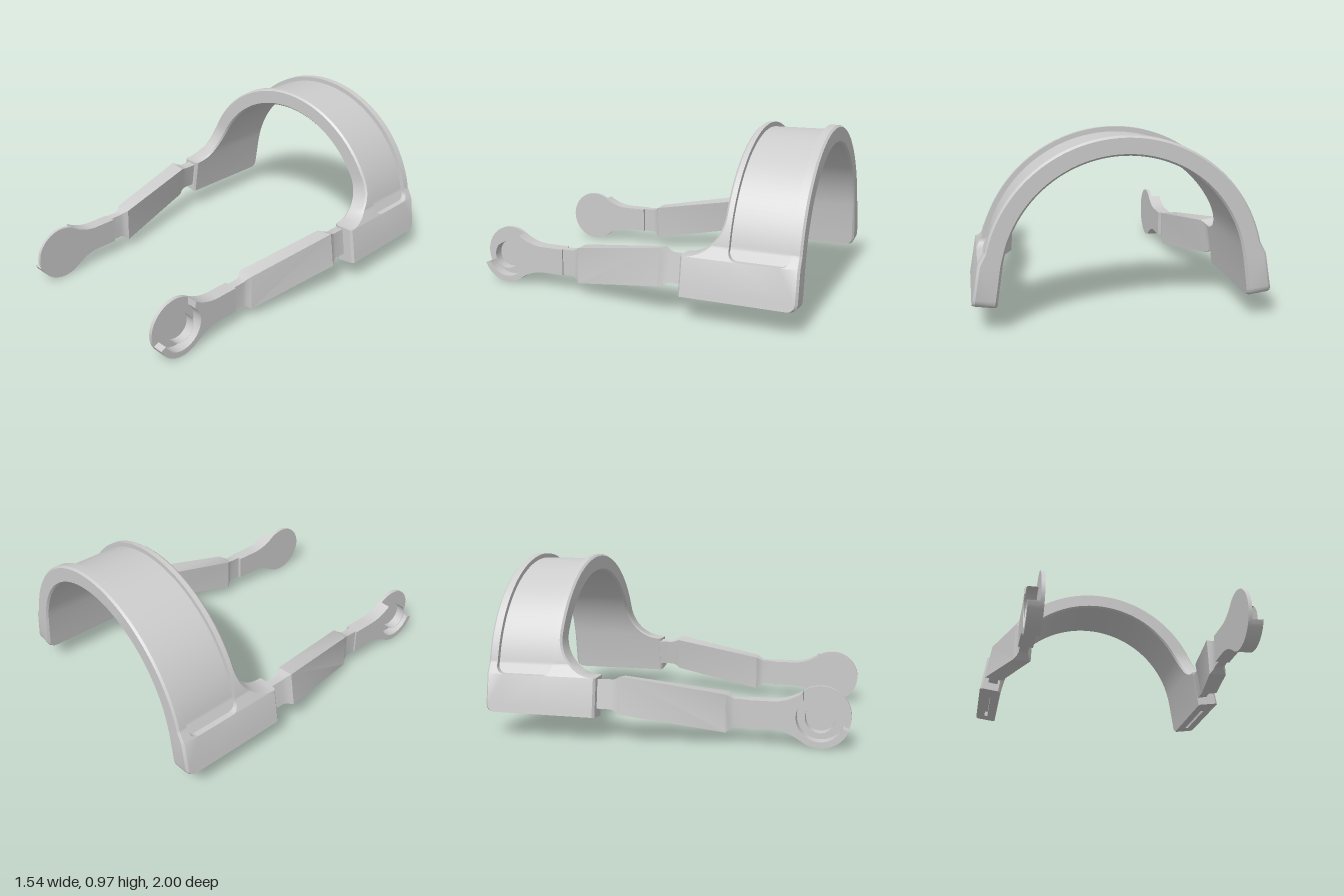
import * as THREE from 'three';
import { mergeGeometries, toCreasedNormals } from 'three/addons/utils/BufferGeometryUtils.js';

const mat = new THREE.MeshStandardMaterial({ color: 0xcccccc });
const lerp = THREE.MathUtils.lerp;
const rad = THREE.MathUtils.degToRad;

function fromTriangles(pos) {
  const g = new THREE.BufferGeometry();
  g.setAttribute('position', new THREE.Float32BufferAttribute(pos, 3));
  return g;
}

// Skin a list of closed rings of [x, y, z] points
function loft(rings, pos = []) {
  const n = rings[0].length;
  for (let i = 0; i < rings.length - 1; i++) {
    for (let j = 0; j < n; j++) {
      const k = (j + 1) % n;
      const a = rings[i][j], b = rings[i + 1][j], c = rings[i + 1][k], d = rings[i][k];
      pos.push(...a, ...b, ...c, ...a, ...c, ...d);
    }
  }
  return pos;
}

// Mirror across x and keep faces pointing outward
function mirrorX(geo) {
  const g = fromTriangles([...geo.attributes.position.array]);
  const p = g.attributes.position;
  for (let i = 0; i < p.count; i += 3) {
    const t = [0, 2, 1].map((k) => [-p.getX(i + k), p.getY(i + k), p.getZ(i + k)]);
    t.forEach((v, k) => p.setXYZ(i + k, ...v));
  }
  return g;
}

function mesh(geo, name, crease = 0.5) {
  const m = new THREE.Mesh(toCreasedNormals(geo, crease), mat);
  m.name = name;
  return m;
}

// ---- Head band ----
const CY = 0.262, R_IN = 0.618, R_OUT = 0.718;

// Inner and outer [x, y] points of the band at a given outer height
function bandPair(y) {
  if (y >= 0.42) {
    const a = Math.asin(Math.min(1, (y - CY) / R_OUT));
    return [R_IN, R_OUT].map((r) => [r * Math.cos(a), CY + r * Math.sin(a)]);
  }
  const mix = (p, q, t) => [lerp(p[0], q[0], t), lerp(p[1], q[1], t)];
  if (y >= 0.355) {
    const t = (0.42 - y) / 0.065;
    return [mix([0.603, 0.398], [0.612, 0.355], t), mix([0.70, 0.42], [0.735, 0.355], t)];
  }
  const t = (0.355 - y) / 0.21;
  return [mix([0.612, 0.355], [0.645, 0.128], t), mix([0.735, 0.355], [0.77, 0.145], t)];
}

// Front edge sweeps forward into the leg; back edge rounds off at the bottom
function frontZ(y) {
  const s = THREE.MathUtils.clamp((0.58 - y) / 0.225, 0, 1);
  return -0.36 - 0.22 * Math.sqrt(1 - s * s);
}
const backZ = (y) => (y < 0.185 ? -0.96 - Math.sqrt(Math.max(0, 0.0016 - (0.185 - y) ** 2)) : -1);

// Cross-section as [t, z], t running from the inner to the outer surface
function bandSection(y, channel) {
  const [inner, outer] = bandPair(y);
  const zb = backZ(y), fi = frontZ(inner[1]), fo = frontZ(outer[1]);
  const d = Math.max(0, 0.405 - y);
  const w = 0.113 + Math.sqrt(Math.max(0, 0.0025 - d * d));
  const f = channel ? 0.74 : 1, zc = -0.783, b = 0.012, e = 0.1;
  return [[0, zb + b], [e, zb], [1 - e, zb], [1, zb + b], [1, zc - w], [f, zc - w],
    [f, zc + w], [1, zc + w], [1, fo - b], [1 - e, fo], [e, fi], [0, fi - b]];
}
function place(y, [t, z], lift = 0) {
  const [i, o] = bandPair(y);
  return [lerp(i[0], o[0], t), lerp(i[1], o[1], t) + lift, z];
}

function bandGeometry() {
  const bottom = 0.145;
  const stations = [bottom, 0.148, 0.155, 0.167, 0.185, 0.355].map((y) => [y, false]);
  // Recess end, with rounded corners, then the fillet up to the arch
  for (let i = 0; i <= 20; i++) stations.push([0.58 - 0.225 * Math.sin((1 - i / 20) * Math.PI / 2), true]);
  for (const y of [0.362, 0.375, 0.39, 0.405, 0.42]) stations.push([y, true]);
  const a0 = Math.asin((0.58 - CY) / R_OUT);
  for (let i = 1; i <= 28; i++) stations.push([CY + R_OUT * Math.sin(lerp(a0, Math.PI / 2, i / 28)), true]);
  stations.sort((p, q) => p[0] - q[0] || p[1] - q[1]);
  const pos = loft(stations.map(([y, ch]) => bandSection(y, ch).map((p) => place(y, p))));

  // Leg underside with its long slot
  const rim = bandSection(bottom, false).filter((p, i) => i < 4 || i > 7);
  const slot = [[0.42, -0.88], [0.42, -0.5], [0.58, -0.5], [0.58, -0.88]];
  const v2 = (list) => list.map((p) => new THREE.Vector2(...p));
  const all = [...rim, ...slot];
  for (const tri of THREE.ShapeUtils.triangulateShape(v2(rim), [v2(slot)])) {
    for (const k of tri) pos.push(...place(bottom, all[k]));
  }
  loft([0, 0.03].map((h) => slot.map((p) => place(bottom, p, h))), pos);
  const roof = [...slot].reverse().map((p) => place(bottom, p, 0.03));
  for (const k of [0, 1, 2, 0, 2, 3]) pos.push(...roof[k]);

  const half = fromTriangles(pos);
  return mergeGeometries([half, mirrorX(half)]);
}

// ---- Side arms ----
const DISC = [0.84, 0.17], R_DISC = 0.163;

// Outline in the z-y plane; the open version leaves a pocket and a gap in the rim
function armOutline(open) {
  const s = new THREE.Shape();
  s.moveTo(0.45, 0.095);
  s.lineTo(0.58, 0.095);
  s.quadraticCurveTo(0.663, 0.095, 0.7465, 0.0365);
  if (open) {
    s.absarc(...DISC, R_DISC, rad(235), rad(338), false);
    s.absarc(...DISC, 0.128, rad(338), rad(135), true);
    s.lineTo(0.7465, 0.3035);
  } else {
    s.absarc(...DISC, R_DISC, rad(235), rad(485), false);
  }
  s.quadraticCurveTo(0.67, 0.25, 0.58, 0.25);
  s.lineTo(0.45, 0.25);
  s.closePath();
  return s;
}

function slab(shape, outerX, depth) {
  const g = new THREE.ExtrudeGeometry(shape, { depth, bevelEnabled: false, curveSegments: 28 });
  g.rotateY(-Math.PI / 2).translate(outerX, 0, 0);
  return fromTriangles([...(g.index ? g.toNonIndexed() : g).attributes.position.array]);
}

// Tapering bar: z, centre x, centre y, half width, half height, tilt
const BAR = [
  [0.46, 0.54, 0.173, 0.025, 0.077, 0],
  [0.38, 0.54, 0.173, 0.025, 0.078, 0],
  [0.357, 0.54, 0.171, 0.032, 0.09, 0.02],
  [0.337, 0.54, 0.17, 0.048, 0.105, 0.03],
  [-0.225, 0.655, 0.26, 0.051, 0.103, 0.15],
  [-0.25, 0.655, 0.26, 0.036, 0.09, 0.15],
  [-0.28, 0.655, 0.26, 0.028, 0.08, 0.15],
  [-0.38, 0.655, 0.26, 0.028, 0.08, 0.15],
];
function barGeometry() {
  const corners = [[-1, -1], [1, -1], [1, 1], [-1, 1]];
  return fromTriangles(loft(BAR.map(([z, x, y, w, h, a]) => corners.map(([u, v]) => [
    x + u * w * Math.cos(a) - v * h * Math.sin(a),
    y + u * w * Math.sin(a) + v * h * Math.cos(a), z]))));
}

function pinGeometry() {
  const profile = [[0, 0], [0.074, 0], [0.08, 0.006], [0.08, 0.064]].map((p) => new THREE.Vector2(...p));
  const g = new THREE.LatheGeometry(profile.reverse(), 36).toNonIndexed();
  g.rotateZ(Math.PI / 2).translate(0.575, DISC[1], DISC[0]);
  return fromTriangles([...g.attributes.position.array]);
}

export function createModel() {
  const model = new THREE.Group();
  model.name = 'headBandFrame';
  model.add(mesh(bandGeometry(), 'headBand'));

  const parts = {
    armBar: barGeometry(),
    hingePlate: slab(armOutline(false), 0.515, 0.02),
    hingeRim: slab(armOutline(true), 0.575, 0.06),
    hingePin: pinGeometry(),
  };
  for (const side of ['left', 'right']) {
    const arm = new THREE.Group();
    arm.name = side + 'Arm';
    for (const [name, geo] of Object.entries(parts)) {
      arm.add(mesh(side === 'left' ? geo : mirrorX(geo), name));
    }
    if (side === 'right') arm.position.x = -0.025;
    model.add(arm);
  }
  return model;
}
